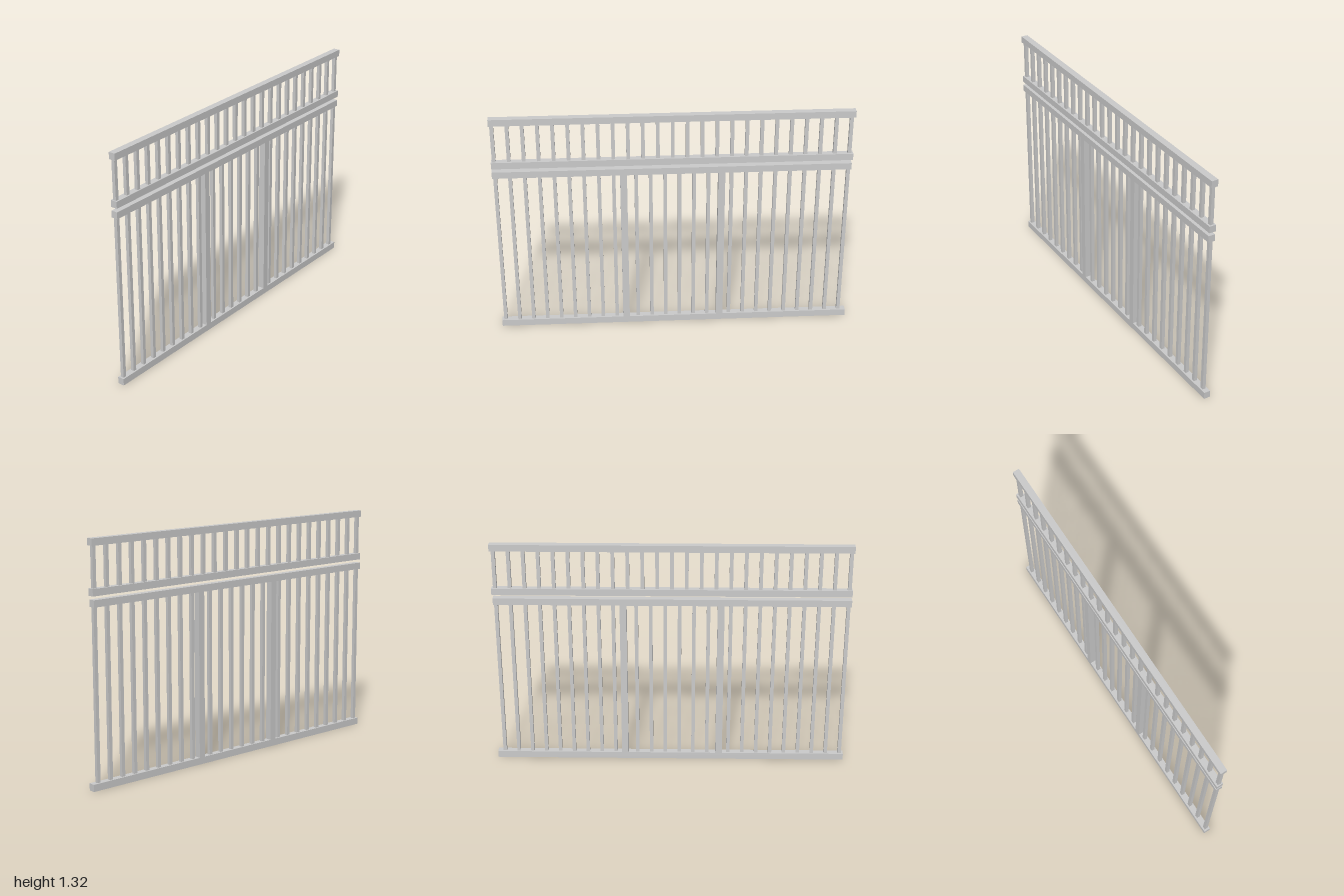
import * as THREE from 'three';

export function createModel() {
  const model = new THREE.Group();
  const material = new THREE.MeshStandardMaterial({ color: 0xcccccc, flatShading: true });

  // Box given by its x and y extents, centred on z = 0
  function bar(name, x0, x1, y0, y1, depth) {
    const mesh = new THREE.Mesh(new THREE.BoxGeometry(x1 - x0, y1 - y0, depth), material);
    mesh.position.set((x0 + x1) / 2, (y0 + y1) / 2, 0);
    mesh.name = name;
    model.add(mesh);
  }

  // Evenly spaced row of square balusters
  function balusterRow(name, first, last, count, y0, y1) {
    for (let i = 0; i < count; i++) {
      const x = first + ((last - first) * i) / (count - 1);
      bar(name, x - 0.01, x + 0.01, y0, y1, 0.019);
    }
  }

  // Horizontal rails
  const depth = 0.038;
  bar('bottomRail', -1, 1, 0, 0.039, depth);
  bar('lowerPanelTopRail', -0.995, 0.975, 0.97, 1.008, depth);
  bar('upperPanelBottomRail', -0.995, 0.98, 1.028, 1.066, depth);
  bar('upperPanelTopRail', -0.995, 0.98, 1.285, 1.323, depth);

  // Two square posts dividing the lower panel
  for (const x of [-0.28, 0.26]) bar('post', x - 0.019, x + 0.019, 0.039, 0.97, depth);

  // Lower panel balusters in three bays
  balusterRow('lowerBaluster', -0.979, -0.334, 9, 0.039, 0.97);
  balusterRow('lowerBaluster', -0.211, 0.188, 6, 0.039, 0.97);
  balusterRow('lowerBaluster', 0.315, 0.96, 9, 0.039, 0.97);

  // Upper panel balusters
  balusterRow('upperBaluster', -0.979, 0.96, 25, 1.066, 1.285);

  return model;
}
